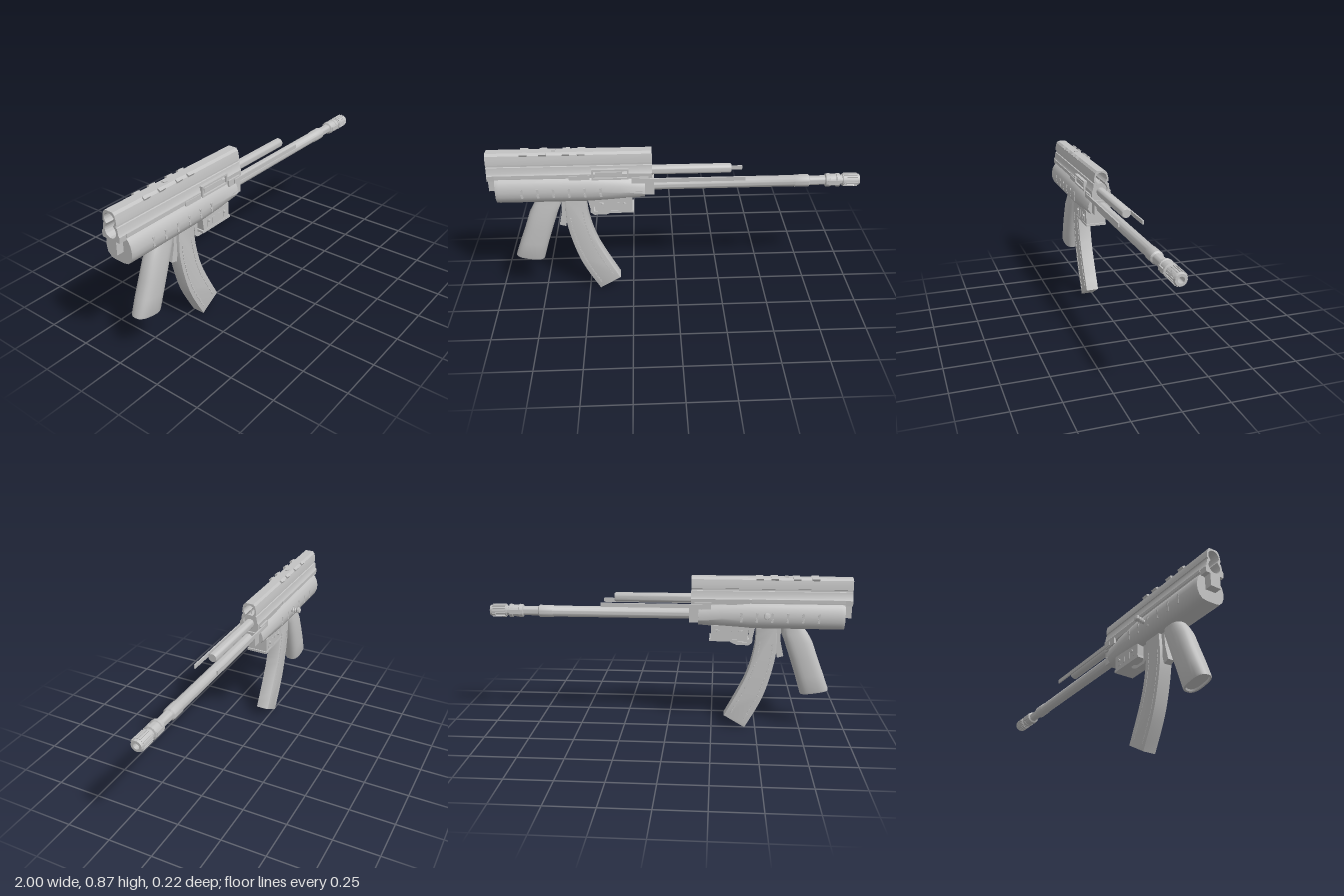
import * as THREE from 'three';
import { toCreasedNormals } from 'three/addons/utils/BufferGeometryUtils.js';

const steel = new THREE.MeshStandardMaterial({ color: 0xc2c2c2 });
steel.name = 'light grey steel';

export function createModel() {
  const root = new THREE.Group();
  const body = new THREE.Group(); // everything is laid out around the bore plane
  body.name = 'body';
  body.position.z = 0.028;
  root.add(body);

  const add = (name, geo, x = 0, y = 0, z = 0) => {
    const m = new THREE.Mesh(geo, steel);
    m.name = name;
    m.position.set(x, y, z);
    body.add(m);
    return m;
  };
  // Box given by its extents
  const box = (name, x0, x1, y0, y1, z0, z1) =>
    add(name, new THREE.BoxGeometry(x1 - x0, y1 - y0, z1 - z0), (x0 + x1) / 2, (y0 + y1) / 2, (z0 + z1) / 2);
  // Turned part along x from [x, radius] pairs
  const turned = (name, pts, y, z = 0, seg = 32) => {
    const g = new THREE.LatheGeometry(pts.map(([x, r]) => new THREE.Vector2(r, x)), seg);
    g.rotateZ(-Math.PI / 2);
    return add(name, toCreasedNormals(g, 0.6), 0, y, z);
  };
  const shapeOf = pts => new THREE.Shape(pts.map(p => new THREE.Vector2(p[0], p[1])));
  const mirror = half => [...half, ...half.slice().reverse().map(([u, y]) => [-u, y])];
  // Shape in x-y, extruded symmetrically across z
  const slab = (name, shape, width, bevel = 0) => {
    const g = new THREE.ExtrudeGeometry(shape, {
      depth: width - 2 * bevel, bevelEnabled: bevel > 0, bevelSize: bevel, bevelThickness: bevel,
      bevelOffset: -bevel, bevelSegments: 2, curveSegments: 20,
    });
    g.translate(0, 0, -width / 2 + bevel);
    return add(name, toCreasedNormals(g, 0.5));
  };
  // Closed skin through equal-length rings, capped at both ends
  const loft = (name, rings, crease = 0.7) => {
    const n = rings[0].length, pos = rings.flat(2), idx = [];
    rings.slice(1).forEach((_, r) => {
      for (let i = 0; i < n; i++) {
        const a = r * n + i, b = r * n + (i + 1) % n;
        idx.push(a, b, b + n, a, b + n, a + n);
      }
    });
    [0, rings.length - 1].forEach((r, end) => {
      const c = pos.length / 3;
      for (let k = 0; k < 3; k++) pos.push(rings[r].reduce((s, p) => s + p[k], 0) / n);
      for (let i = 0; i < n; i++) {
        const a = r * n + i, b = r * n + (i + 1) % n;
        end ? idx.push(c, a, b) : idx.push(c, b, a);
      }
    });
    // turn the skin outward by the sign of its volume
    const P = i => new THREE.Vector3().fromArray(pos, i * 3);
    let vol = 0;
    for (let i = 0; i < idx.length; i += 3) vol += P(idx[i]).dot(P(idx[i + 1]).cross(P(idx[i + 2])));
    if (vol < 0) idx.reverse();
    const g = new THREE.BufferGeometry();
    g.setAttribute('position', new THREE.Float32BufferAttribute(pos, 3));
    g.setIndex(idx);
    return add(name, toCreasedNormals(g, crease));
  };

  // Upper shell: hollow profile with a side groove
  const upper = shapeOf(mirror([[0.054, 0.725], [0.056, 0.755], [0.049, 0.765], [0.044, 0.798], [0.038, 0.8],
    [0.038, 0.81], [0.043, 0.812], [0.041, 0.835], [0.035, 0.86], [0.024, 0.872]]));
  const bore = new THREE.Path();
  bore.absarc(0, 0.829, 0.033, -0.9, Math.PI + 0.9);
  bore.absarc(0, 0.77, 0.036, Math.PI - 0.7, Math.PI * 2 + 0.7);
  upper.holes.push(bore);
  const shell = new THREE.ExtrudeGeometry(upper, { depth: 0.87, bevelEnabled: false, curveSegments: 16 });
  shell.rotateY(Math.PI / 2);
  add('upperShell', toCreasedNormals(shell, 0.5), -1);

  // Lower shell: rounded section narrowing to the front
  const half = [[0.05, 0.737], [0.066, 0.722], [0.078, 0.7], [0.085, 0.668], [0.083, 0.64], [0.073, 0.615], [0.055, 0.597], [0.03, 0.592]];
  const taper = [[-0.96, 0.97, 0], [-0.94, 1, 0], [-0.45, 1, 0], [-0.3, 0.93, 0.4], [-0.17, 0.8, 1]];
  loft('lowerShell', taper.map(([x, w, t]) =>
    mirror(half).map(([u, y]) => [x, y + t * (y > 0.66 ? -0.03 : 0.013), u * w])));

  // Blocks inside and at the ends
  box('rearBlock', -1, -0.95, 0.655, 0.735, -0.03, 0.03);
  box('frontBlock', -0.2, -0.13, 0.695, 0.73, -0.054, 0.054);
  box('trunnion', -0.19, -0.12, 0.62, 0.705, -0.043, 0.043);
  turned('boltCarrier', [[-0.9, 0], [-0.9, 0.034], [-0.14, 0.034], [-0.14, 0]], 0.765);
  box('frontSight', -0.16, -0.155, 0.79, 0.825, -0.002, 0.002);

  // Barrel with collar and hollow muzzle
  turned('barrel', [[-0.2, 0], [-0.2, 0.031], [0.64, 0.031], [0.645, 0.034], [0.72, 0.034], [0.727, 0.026],
    [0.81, 0.026], [0.815, 0.035], [0.835, 0.038], [0.838, 0.033], [0.87, 0.033], [0.873, 0.037], [0.89, 0.037],
    [0.893, 0.028], [0.905, 0.028], [0.908, 0.033], [0.99, 0.033], [1, 0.029], [1, 0.016], [0.9, 0.016], [0.9, 0]], 0.662);
  for (let i = 0; i < 18; i++) {
    const a = i / 18 * Math.PI * 2;
    const m = add('muzzleRib', new THREE.BoxGeometry(0.074, 0.006, 0.005), 0.95, 0.662 + 0.034 * Math.cos(a), 0.034 * Math.sin(a));
    m.rotation.x = a;
  }
  for (const s of [-1, 1]) box('collarLug', 0.825, 0.885, 0.65, 0.674, s * 0.034 - 0.004, s * 0.034 + 0.004);

  // Gas rod and thin side strips
  turned('gasRod', [[-0.15, 0], [-0.15, 0.026], [0.288, 0.026], [0.295, 0.022], [0.295, 0]], 0.749);
  for (const s of [-1, 1]) {
    box('sideStrip', -0.2, 0.365, 0.706, 0.728, s * 0.065 - 0.004, s * 0.065 + 0.004);
    box('stripMount', -0.24, -0.15, 0.7, 0.735, s * 0.058 - 0.006, s * 0.058 + 0.006);
    box('shellRail', -0.96, -0.46, 0.74, 0.757, s * 0.056 - 0.003, s * 0.056 + 0.003);
    // slanted vents along the lower shell
    for (let i = 0; i < 6; i++) {
      for (const [dy, h] of [[-0.016, 0.022], [0.014, 0.022]]) {
        const v = add('vent', new THREE.BoxGeometry(0.012, h, 0.004), -0.82 + i * 0.083, 0.662 + dy, s * 0.084);
        v.rotation.z = 0.15;
      }
    }
    // small pins
    for (const [x, y] of [[-0.4, 0.575], [-0.28, 0.575]]) {
      const p = add('pin', new THREE.CylinderGeometry(0.008, 0.008, 0.012, 12), x, y, s * 0.062);
      p.rotation.x = Math.PI / 2;
    }
    for (let i = 0; i < 4; i++) {
      const x = [-0.8, -0.7, -0.58, -0.5][i];
      const t = box('topTab', x - 0.02, x + 0.02, 0.861, 0.873, s * 0.033 - 0.009, s * 0.033 + 0.009);
      t.rotation.x = s * 0.5;
    }
  }
  box('topStud', -0.655, -0.635, 0.868, 0.877, -0.01, 0.01);

  // Ejection port: raised frame around a cover
  const port = (y0, y1, x0 = -0.45, x1 = -0.255) => box('portFrame', x0, x1, y0, y1, 0.045, 0.065);
  port(0.775, 0.785);
  port(0.725, 0.735);
  port(0.735, 0.775, -0.45, -0.442);
  port(0.735, 0.775, -0.263, -0.255);
  box('portCover', -0.43, -0.29, 0.745, 0.768, 0.045, 0.061);
  box('selectorPlate', -0.57, -0.46, 0.725, 0.75, 0.05, 0.062);

  // Charging handle on the far side
  const handle = new THREE.LatheGeometry([[0, 0], [0.013, 0], [0.011, 0.02], [0.016, 0.026], [0.011, 0.032],
    [0.016, 0.04], [0.012, 0.046], [0.018, 0.056], [0.016, 0.066], [0, 0.07]].map(p => new THREE.Vector2(...p)), 20);
  add('chargingHandle', toCreasedNormals(handle, 0.7), -0.54, 0.67, -0.07).rotation.x = -Math.PI / 2 + 0.2;

  // Pistol grip: rounded rings from top to foot, [back x, y, front x, y, half width]
  const gripRings = [[-0.745, 0.6, -0.625, 0.6, 0.04], [-0.775, 0.56, -0.628, 0.56, 0.043], [-0.803, 0.51, -0.645, 0.52, 0.049],
    [-0.835, 0.42, -0.68, 0.42, 0.052], [-0.87, 0.33, -0.715, 0.315, 0.052], [-0.901, 0.245, -0.744, 0.22, 0.049],
    [-0.903, 0.236, -0.747, 0.21, 0.045], [-0.895, 0.235, -0.757, 0.212, 0.036], [-0.892, 0.245, -0.76, 0.222, 0.034]];
  loft('grip', gripRings.map(([bx, by, fx, fy, w]) => Array.from({ length: 28 }, (_, i) => {
    const a = i / 28 * Math.PI * 2, f = v => Math.sign(v) * Math.abs(v) ** 0.75;
    const t = 0.5 + 0.5 * f(Math.cos(a));
    return [bx + (fx - bx) * t, by + (fy - by) * t, w * f(Math.sin(a))];
  })));

  // Curved magazine with edge strips
  const curve = pts => new THREE.SplineCurve(pts.map(p => new THREE.Vector2(...p)));
  const back = curve([[-0.6, 0.6], [-0.6, 0.43], [-0.54, 0.2], [-0.44, 0.005]]);
  const front = curve([[-0.49, 0.6], [-0.482, 0.47], [-0.435, 0.3], [-0.322, 0.075]]);
  slab('magazine', shapeOf([...back.getPoints(20), ...front.getPoints(20).reverse()].map(p => [p.x, p.y])), 0.074, 0.003);
  for (const s of [-1, 1]) for (const k of [0.2, 0.8]) for (let i = 0; i < 18; i++) {
    const at = t => back.getPoint(t).lerp(front.getPoint(t), k);
    const a = at(0.22 + i * 0.04), b = at(0.25 + i * 0.04);
    const m = add('magazineRib', new THREE.BoxGeometry(a.distanceTo(b), 0.008, 0.004), (a.x + b.x) / 2, (a.y + b.y) / 2, s * 0.0375);
    m.rotation.z = Math.atan2(b.y - a.y, b.x - a.x);
  }
  // Magazine catch
  slab('magazineCatch', shapeOf([[-0.625, 0.6], [-0.625, 0.52], [-0.645, 0.43], [-0.61, 0.42], [-0.595, 0.5], [-0.595, 0.6]]), 0.04);

  // Front housing under the shell, with flange and slots
  slab('frontHousing', shapeOf([[-0.45, 0.61], [-0.44, 0.53], [-0.24, 0.53], [-0.24, 0.61]]), 0.116);
  box('housingFlange', -0.45, -0.232, 0.52, 0.533, -0.06, 0.06);
  for (const s of [-1, 1]) for (let i = 0; i < 4; i++)
    box('housingSlot', -0.415 + i * 0.043, -0.395 + i * 0.043, 0.545, 0.585, s * 0.058 - 0.002, s * 0.058 + 0.002);
  // Curved lever beneath the housing
  slab('lever', shapeOf([[-0.485, 0.6], [-0.47, 0.53], [-0.47, 0.505], [-0.45, 0.49], [-0.385, 0.49], [-0.35, 0.505],
    [-0.335, 0.522], [-0.36, 0.522], [-0.395, 0.507], [-0.44, 0.507], [-0.45, 0.53], [-0.45, 0.6]]), 0.048);

  return root;
}
